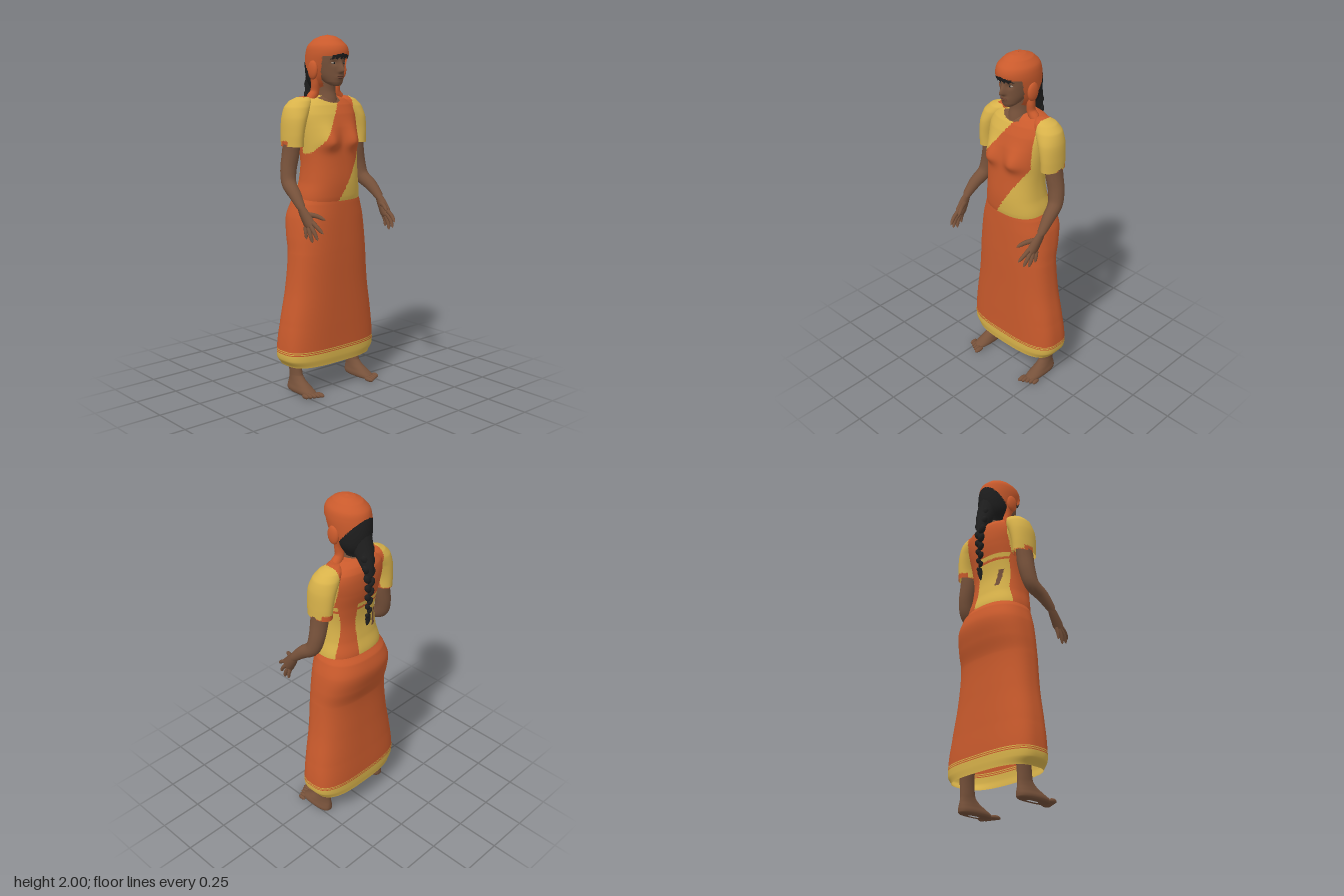
import * as THREE from 'three';

const mat = (name, color, side = THREE.FrontSide) => {
  const m = new THREE.MeshStandardMaterial({ color, side });
  m.name = name;
  return m;
};
const D = THREE.DoubleSide;

export function createModel() {
  const group = new THREE.Group();
  const orange = mat('orangeCloth', 0xc95a2c, D), yellow = mat('yellowCloth', 0xd8b24a, D);
  const skin = mat('brownSkin', 0x76513a), hair = mat('blackHair', 0x1e1e1e, D);
  const lip = mat('lip', 0x66402f), eyeWhite = mat('eyeWhite', 0x9c8c7c);
  const palette = [orange, yellow, skin, hair];
  const O = 0, Y = 1, S = 2, H = 3;

  const add = (name, geo, material) => {
    const m = new THREE.Mesh(geo, material);
    m.name = name;
    group.add(m);
    return m;
  };

  // Loft of rings [y, centreX, halfWidth, zFront, zBack, roundness], bottom to top.
  // paint(x, y, z) gives a palette index per face, or null for an opening.
  function loft(name, rings, { segs = 48, k = 6, paint = () => S, bump } = {}) {
    const rowAt = (t) => {
      const i = Math.min(Math.floor(t), rings.length - 2), f = t - i;
      const r = (j) => rings[Math.max(0, Math.min(rings.length - 1, j))];
      return rings[0].map((_, c) => {
        const a = r(i - 1)[c], b = r(i)[c], d = r(i + 1)[c], e = r(i + 2)[c];
        if (c === 0) return b + (d - b) * f;
        const v = b + 0.5 * f * (d - a + f * (2 * a - 5 * b + 4 * d - e + f * (3 * (b - d) + e - a)));
        return c === 2 ? Math.max(v, 0.001) : v;
      });
    };
    const pos = [], rows = (rings.length - 1) * k;
    const pw = (v, n) => Math.sign(v) * Math.pow(Math.abs(v), 2 / n);
    for (let i = 0; i <= rows; i++) {
      const [y, cx, rx, zf, zb, n = 2] = rowAt(i / k);
      for (let j = 0; j < segs; j++) {
        const a = (j / segs) * Math.PI * 2;
        const x = cx + rx * pw(Math.cos(a), n);
        const z = (zf + zb) / 2 + ((zf - zb) / 2) * pw(Math.sin(a), n);
        pos.push(x, y, z + (bump && Math.sin(a) > 0 ? bump(x, y) : 0));
      }
    }
    const lists = palette.map(() => []);
    for (let i = 0; i < rows; i++) for (let j = 0; j < segs; j++) {
      const a = i * segs + j, b = i * segs + (j + 1) % segs, c = a + segs, d = b + segs;
      for (const tri of [[a, c, b], [b, c, d]]) {
        const mid = [0, 1, 2].map((q) => tri.reduce((s, v) => s + pos[v * 3 + q], 0) / 3);
        const p = paint(...mid);
        if (p !== null) lists[p].push(...tri);
      }
    }
    const geo = new THREE.BufferGeometry();
    geo.setAttribute('position', new THREE.Float32BufferAttribute(pos, 3));
    geo.setIndex(lists.flat());
    let start = 0;
    lists.forEach((l, q) => { if (l.length) geo.addGroup(start, l.length, q); start += l.length; });
    geo.computeVertexNormals();
    return add(name, geo, palette);
  }

  // Tapered tube through points [x, y, z, radius]; flat squeezes it along x
  function limb(name, pts, material, flat = 1, n = 24, sides = 14) {
    const curve = new THREE.CatmullRomCurve3(pts.map((p) => new THREE.Vector3(p[0], p[1], p[2])));
    const geo = new THREE.TubeGeometry(curve, n, 1, sides), P = geo.attributes.position;
    for (let i = 0; i <= n; i++) {
      const c = curve.getPointAt(i / n), t = curve.getUtoTmapping(i / n) * (pts.length - 1);
      const q = Math.min(Math.floor(t), pts.length - 2);
      let r = THREE.MathUtils.lerp(pts[q][3], pts[q + 1][3], t - q);
      r *= i === n || i === 0 ? 0.01 : i === n - 1 ? 0.75 : 1;
      for (let j = 0; j <= sides; j++) {
        const v = i * (sides + 1) + j;
        P.setXYZ(v, c.x + (P.getX(v) - c.x) * r * flat, c.y + (P.getY(v) - c.y) * r, c.z + (P.getZ(v) - c.z) * r);
      }
    }
    return add(name, geo, material);
  }

  const blob = (name, x, y, z, sx, sy, sz, material, rz = 0) => {
    const m = add(name, new THREE.SphereGeometry(1, 20, 14), material);
    m.position.set(x, y, z);
    m.scale.set(sx, sy, sz);
    m.rotation.z = rz;
    return m;
  };
  const gauss = (d, s) => Math.exp(-((d / s) ** 2));

  // Long skirt with a striped hem
  loft('skirt', [
    [0.16, 0, 0.285, 0.075, -0.2, 3], [0.2, 0, 0.313, 0.08, -0.203, 3], [0.26, 0, 0.315, 0.08, -0.203, 3],
    [0.4, 0, 0.3, 0.083, -0.196, 2.8], [0.6, 0, 0.268, 0.087, -0.187, 2.6], [0.8, 0, 0.25, 0.092, -0.186, 2.5],
    [0.9, 0, 0.243, 0.093, -0.214, 2.5], [1.0, 0, 0.23, 0.093, -0.233, 2.5], [1.08, 0, 0.206, 0.092, -0.214, 2.4],
    [1.125, 0, 0.184, 0.09, -0.183, 2.4],
  ], { segs: 96, k: 12, paint: (x, y) => (y < 0.235 || (y > 0.24 && y < 0.245) || (y > 0.25 && y < 0.255) ? Y : O) });

  // Blouse colours with the diagonal sash over the left shoulder
  const cloth = (x, y, z) => {
    if (z > -0.05) {
      if (z > -0.03 && y > 1.63 + 4 * x * x && x < 0.05) return S;
      const inner = y < 1.35 ? -1 : -0.175 + (y - 1.35) * 0.696;
      const outer = y > 1.4 ? 0.16 : -0.03 + (y - 1.1) * 0.633;
      return x > inner && x < outer ? O : Y;
    }
    if (y > 1.43) return Math.abs(x) < 0.165 ? O : Y;
    if (x > 0.05 && z < -0.12) return O;
    if (x < -0.15 && z > -0.11) return O;
    if (y > 1.39 && y < 1.405) return O;
    return Math.abs(x + 0.1 + (y - 1.28) * 0.2) < 0.014 && y > 1.23 && y < 1.33 ? S : Y;
  };
  loft('torso', [
    [1.06, 0, 0.19, 0.085, -0.18, 2.4], [1.12, 0, 0.19, 0.096, -0.188, 2.4], [1.2, 0, 0.174, 0.1, -0.168, 2.4],
    [1.3, 0, 0.168, 0.094, -0.155, 2.4], [1.4, 0, 0.174, 0.086, -0.165, 2.4], [1.5, 0, 0.184, 0.072, -0.185, 2.4],
    [1.57, 0, 0.19, 0.05, -0.19, 2.4], [1.62, 0, 0.178, 0.025, -0.185, 2.3], [1.65, 0, 0.142, 0.002, -0.168, 2.2],
    [1.67, 0, 0.085, -0.02, -0.145, 2], [1.678, 0, 0.045, -0.03, -0.12, 2],
  ], {
    segs: 144, k: 10, paint: cloth,
    bump: (x, y) => 0.036 * gauss(Math.abs(x) - 0.085, 0.055) * gauss(y - 1.42, y < 1.42 ? 0.04 : 0.075),
  });

  for (const s of [1, -1]) {
    const side = s > 0 ? 'left' : 'right';
    const mx = (pts) => pts.map(([x, ...r]) => [x * s, ...r]);
    // Short sleeve
    loft(side + 'Sleeve', [
      [1.4, 0.23, 0.05, 0.01, -0.148], [1.47, 0.228, 0.052, 0.014, -0.152], [1.55, 0.214, 0.062, 0.014, -0.155],
      [1.61, 0.188, 0.071, 0, -0.152], [1.645, 0.163, 0.062, -0.02, -0.138], [1.663, 0.147, 0.035, -0.045, -0.115],
      [1.668, 0.142, 0.002, -0.08, -0.082],
    ].map(([y, cx, ...r]) => [y, cx * s, ...r]), { k: 8, segs: 64, paint: cloth });

    // Arm, palm and fingers
    limb(side + 'Arm', mx([[0.23, 1.46, -0.07, 0.048], [0.24, 1.36, -0.072, 0.05], [0.258, 1.27, -0.07, 0.046],
      [0.27, 1.2, -0.05, 0.042], [0.283, 1.15, 0.015, 0.036], [0.29, 1.09, 0.075, 0.025], [0.288, 1.06, 0.1, 0.022]]), skin, 0.95);
    limb(side + 'Palm', mx([[0.291, 1.1, 0.065, 0.022], [0.289, 1.06, 0.095, 0.033], [0.284, 1.01, 0.133, 0.04],
      [0.281, 0.985, 0.152, 0.028]]), skin, 0.5);
    const fingers = [
      [[0.281, 1.05, 0.105, 0.015], [0.252, 1.045, 0.16, 0.013], [0.226, 1.025, 0.205, 0.009]],
      [[0.28, 1.02, 0.15, 0.013], [0.276, 0.99, 0.197, 0.011], [0.265, 0.958, 0.233, 0.008]],
      [[0.282, 1.0, 0.145, 0.013], [0.284, 0.962, 0.18, 0.011], [0.278, 0.92, 0.204, 0.008]],
      [[0.285, 0.99, 0.132, 0.013], [0.289, 0.945, 0.154, 0.011], [0.284, 0.903, 0.168, 0.008]],
      [[0.288, 0.99, 0.113, 0.012], [0.294, 0.955, 0.122, 0.01], [0.293, 0.918, 0.127, 0.007]],
    ];
    fingers.forEach((f, i) => limb(side + (i ? 'Finger' : 'Thumb'), mx(f), skin, 1, 10, 8));

    // Leg, foot and toes
    loft(side + 'LegAndFoot', [
      [0.002, 0.22, 0.01, 0.02, -0.06, 2.6], [0.005, 0.22, 0.038, 0.095, -0.112, 2.6], [0.022, 0.22, 0.044, 0.095, -0.121, 2.6],
      [0.045, 0.219, 0.038, 0.055, -0.12, 2.4], [0.07, 0.218, 0.033, 0.012, -0.117, 2], [0.1, 0.217, 0.03, -0.02, -0.115, 2],
      [0.2, 0.217, 0.033, -0.03, -0.122, 2], [0.32, 0.212, 0.045, -0.015, -0.14, 2], [0.6, 0.17, 0.06, 0.02, -0.13, 2],
    ].map(([y, cx, ...r]) => [y, cx * s, ...r]));
    for (let i = 0; i < 5; i++)
      blob(side + 'Toe', s * (0.188 + i * 0.02), 0.013, 0.11 - i * 0.008, i ? 0.011 : 0.015, 0.013, 0.034 - i * 0.002, skin);

    // Cloth over the ear and down to the shoulder
    blob(side + 'EarCover', s * 0.104, 1.81, -0.043, 0.018, 0.052, 0.037, orange);
    limb(side + 'ScarfTail', mx([[0.092, 1.8, -0.06, 0.018], [0.08, 1.74, -0.055, 0.022], [0.078, 1.69, -0.06, 0.025],
      [0.11, 1.65, -0.06, 0.03]]), orange);

    // Eye and brow
    blob(side + 'Eye', s * 0.034, 1.848, 0.047, 0.015, 0.006, 0.011, eyeWhite);
    blob(side + 'Pupil', s * 0.034, 1.848, 0.054, 0.006, 0.006, 0.005, hair);
    limb(side + 'Brow', mx([[0.014, 1.868, 0.068, 0.003], [0.035, 1.874, 0.06, 0.004], [0.058, 1.866, 0.042, 0.002]]), hair, 1, 10, 6);
  }

  // Neck and head with nose, eye sockets and mouth
  loft('neck', [[1.6, 0, 0.075, 0.02, -0.14], [1.65, 0, 0.06, 0.012, -0.135], [1.7, 0, 0.053, 0, -0.125], [1.77, 0, 0.053, 0.005, -0.125]]);
  const nose = (x, y) => 0.032 * gauss(x, 0.013) * (y < 1.805 ? gauss(y - 1.805, 0.01) : gauss(y - 1.805, 0.036));
  loft('head', [
    [1.722, 0, 0.004, 0.04, 0.02], [1.727, 0, 0.028, 0.056, -0.005], [1.745, 0, 0.048, 0.064, -0.05], [1.78, 0, 0.067, 0.067, -0.11],
    [1.82, 0, 0.079, 0.069, -0.15], [1.86, 0, 0.086, 0.071, -0.165], [1.9, 0, 0.086, 0.07, -0.16], [1.95, 0, 0.06, 0.04, -0.12],
    [1.97, 0, 0.01, -0.03, -0.06],
  ], {
    segs: 96, k: 8,
    bump: (x, y) => nose(x, y) - 0.009 * gauss(Math.abs(x) - 0.034, 0.016) * gauss(y - 1.848, 0.014)
      + 0.006 * gauss(x, 0.025) * gauss(y - 1.772, 0.013),
  });
  blob('upperLip', 0, 1.777, 0.068, 0.024, 0.005, 0.008, lip);
  blob('lowerLip', 0, 1.768, 0.067, 0.02, 0.006, 0.008, lip);

  // Head scarf open at the face, with hair showing behind and a small fringe
  loft('scarfAndHair', [
    [1.69, 0, 0.05, -0.03, -0.15], [1.75, 0, 0.085, 0.015, -0.175], [1.8, 0, 0.1, 0.05, -0.185], [1.85, 0, 0.106, 0.076, -0.186],
    [1.9, 0, 0.107, 0.09, -0.18], [1.94, 0, 0.098, 0.08, -0.167], [1.975, 0, 0.068, 0.042, -0.13], [1.993, 0, 0.036, 0.005, -0.085],
    [2, 0, 0.001, -0.04, -0.042],
  ], {
    segs: 96, k: 10,
    paint: (x, y, z) => {
      if (z > 0 && y > 1.872 + 0.006 * Math.sin(x * 260) && y < 1.9 - Math.abs(x) * 0.2 && Math.abs(x) < 0.056) return H;
      if (y < 1.885 && z > (y - 1.8) * 0.3) return null;
      return z < -0.075 && y < 1.78 + (-0.075 - z) * 1.25 ? H : O;
    },
  });

  // Braid down the back
  limb('hairGather', [[0, 1.82, -0.125, 0.06], [0, 1.73, -0.155, 0.055], [0, 1.65, -0.185, 0.035], [0, 1.58, -0.2, 0.02]], hair);
  for (let i = 0; i < 14; i++) {
    const t = i / 13, w = 0.031 - 0.017 * t, s = i % 2 ? 1 : -1;
    blob('braidStrand', s * w * 0.55, 1.72 - 0.37 * t, -0.18 - 0.026 * Math.sin(Math.min(1, t * 1.4) * Math.PI * 0.62) + 0.006 * t,
      w * 0.85, w * 1.25, w * 0.75, hair, -s * 0.6);
  }
  limb('braidEnd', [[0, 1.36, -0.198, 0.012], [0, 1.325, -0.195, 0.015], [0, 1.28, -0.188, 0.004]], hair, 1, 12, 10);

  return group;
}
